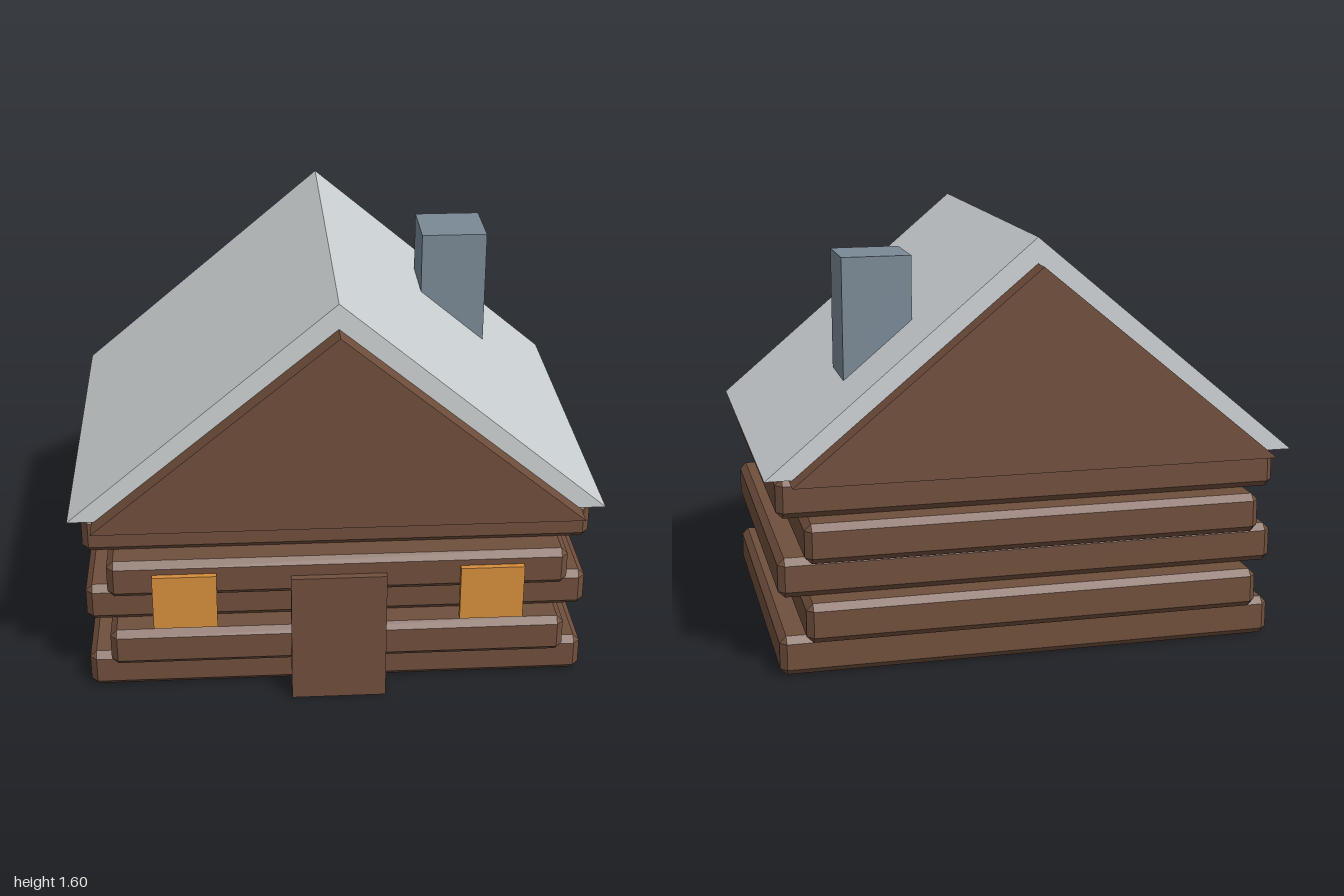
import * as THREE from 'three';
import { ConvexGeometry } from 'three/addons/geometries/ConvexGeometry.js';

const flat = (name, color) => {
  const m = new THREE.MeshStandardMaterial({ color });
  m.name = name;
  return m;
};

// Box with every edge chamfered by b, standing on y = 0
function chamferedBox(w, h, d, b) {
  const points = [];
  for (const sx of [-1, 1]) for (const sy of [-1, 1]) for (const sz of [-1, 1]) {
    for (const inset of [[0, b, b], [b, 0, b], [b, b, 0]]) {
      points.push(new THREE.Vector3(
        sx * (w / 2 - inset[0]),
        h / 2 + sy * (h / 2 - inset[1]),
        sz * (d / 2 - inset[2])));
    }
  }
  return new ConvexGeometry(points);
}

// Triangular prism running along z
function prism(halfWidth, base, apex, z0, z1) {
  const shape = new THREE.Shape();
  shape.moveTo(-halfWidth, base);
  shape.lineTo(halfWidth, base);
  shape.lineTo(0, apex);
  shape.closePath();
  return new THREE.ExtrudeGeometry(shape, { depth: z1 - z0, bevelEnabled: false }).translate(0, 0, z0);
}

export function createModel() {
  const cabin = new THREE.Group();
  cabin.name = 'logCabin';

  const wood = flat('brownWood', 0x704f3c);
  const snow = flat('paleGreyRoof', 0xcdd2d4);
  const stone = flat('slateStone', 0x7a8996);
  const glow = flat('amberWindow', 0xd68e3c);

  const add = (name, geometry, material, x = 0, y = 0, z = 0) => {
    const mesh = new THREE.Mesh(geometry, material);
    mesh.name = name;
    mesh.position.set(x, y, z);
    cabin.add(mesh);
    return mesh;
  };

  // Log courses, alternately longer in x and in z
  const course = 0.15;
  for (let i = 0; i < 5; i++) {
    const wide = i % 2 === 0;
    add('logCourse' + (i + 1),
      chamferedBox(wide ? 1.91 : 1.73, course, wide ? 1.42 : 1.6, 0.025),
      wood, 0, i * course, 0);
  }

  // Gable attic reaches past the roof at both ends
  add('gable', prism(0.91, 0.752, 1.505, -0.843, 0.843), wood);
  add('roof', prism(1, 0.76, 1.6, -0.757, 0.757), snow);

  // Chimney on the left slope, sunk into the roof
  add('chimney', new THREE.BoxGeometry(0.262, 0.565, 0.264), stone, 0.531, 1.2225, -0.312);

  // Door and the two front windows
  add('door', new THREE.BoxGeometry(0.36, 0.53, 0.035), wood, 0, 0.265, 0.81);
  for (const side of [-1, 1]) {
    add(side > 0 ? 'leftWindow' : 'rightWindow',
      new THREE.BoxGeometry(0.24, 0.22, 0.026), glow, side * 0.577, 0.441, 0.81);
  }

  return cabin;
}
